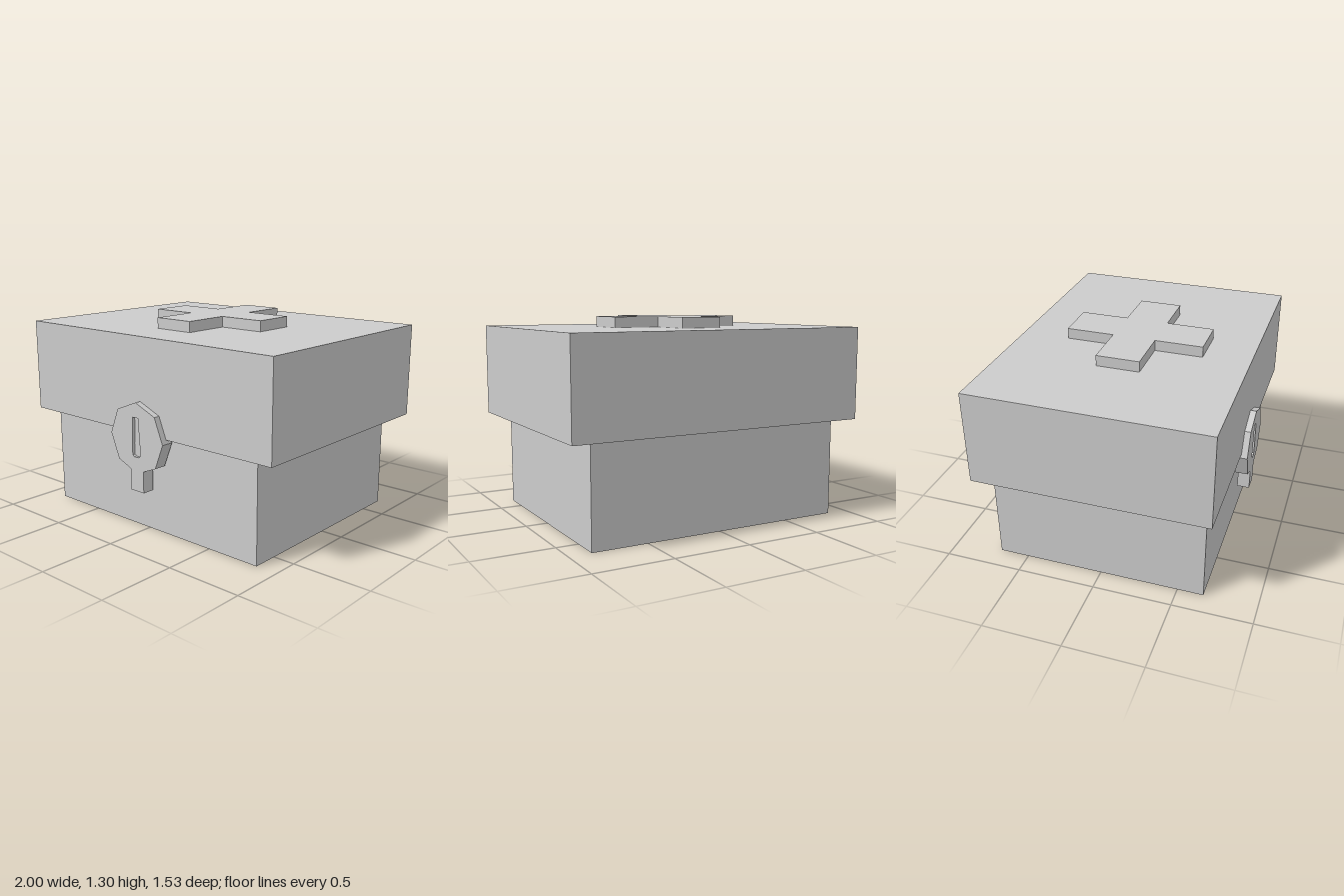
import * as THREE from 'three';

const grey = new THREE.MeshStandardMaterial({ color: 0xcccccc, flatShading: true });

function add(group, name, geometry, x = 0, y = 0, z = 0) {
  const mesh = new THREE.Mesh(geometry, grey);
  mesh.name = name;
  mesh.position.set(x, y, z);
  group.add(mesh);
  return mesh;
}

const path = (points) => points.map(([x, y]) => new THREE.Vector2(x, y));

const rectangle = (w, h) =>
  path([[-w / 2, -h / 2], [w / 2, -h / 2], [w / 2, h / 2], [-w / 2, h / 2]]);

// Extrude an outline, optionally with one hole
function slab(outline, depth, hole) {
  const shape = new THREE.Shape(outline);
  if (hole) shape.holes.push(new THREE.Path(hole));
  return new THREE.ExtrudeGeometry(shape, { depth, bevelEnabled: false });
}

export function createModel() {
  const chest = new THREE.Group();
  chest.name = 'chest';

  // Lower box, reaching up inside the lid
  add(chest, 'base', new THREE.BoxGeometry(1.72, 0.75, 1.355), 0, 0.375, -0.0125);

  // Lid: a deep rim with a small gap around the base, closed by a top panel
  const lid = new THREE.Group();
  lid.name = 'lid';
  lid.position.z = -0.02;
  chest.add(lid);
  const rim = slab(rectangle(2, 1.49), 0.6, rectangle(1.79, 1.425));
  add(lid, 'lidRim', rim, 0, 0.633, 0).rotation.x = -Math.PI / 2;
  const panel = new THREE.PlaneGeometry(1.79, 1.425);
  add(lid, 'lidTop', panel, 0, 1.233, 0).rotation.x = -Math.PI / 2;
  add(lid, 'lidCeiling', panel, 0, 1.2, 0).rotation.x = Math.PI / 2;

  // Raised cross on the lid
  const a = 0.137, b = 0.443;
  const cross = path([
    [a, -b], [a, -a], [b, -a], [b, a], [a, a], [a, b],
    [-a, b], [-a, a], [-b, a], [-b, -a], [-a, -a], [-a, -b],
  ]);
  add(chest, 'lidCross', slab(cross, 0.068), 0, 1.233, -0.015).rotation.x = -Math.PI / 2;

  // Latch: eight-sided plate with a tab below and a shallow key slot
  const half = [[0.055, 0.27], [0.055, 0.407], [0.16, 0.45], [0.225, 0.61], [0.16, 0.77]];
  const mirrored = half.map(([x, y]) => [-x, y]).reverse();
  const plate = path([...half, [0, 0.835], ...mirrored]);
  const slot = path([
    [-0.03, 0.74], [0.022, 0.74], [0.024, 0.65], [0.03, 0.57], [0.028, 0.5],
    [0.015, 0.49], [-0.02, 0.49], [-0.034, 0.5], [-0.036, 0.57], [-0.03, 0.65],
  ]);
  add(chest, 'latchBack', slab(plate, 0.06), 0, 0, 0.685);
  add(chest, 'latchFace', slab(plate, 0.02, slot), 0, 0, 0.745);

  return chest;
}
